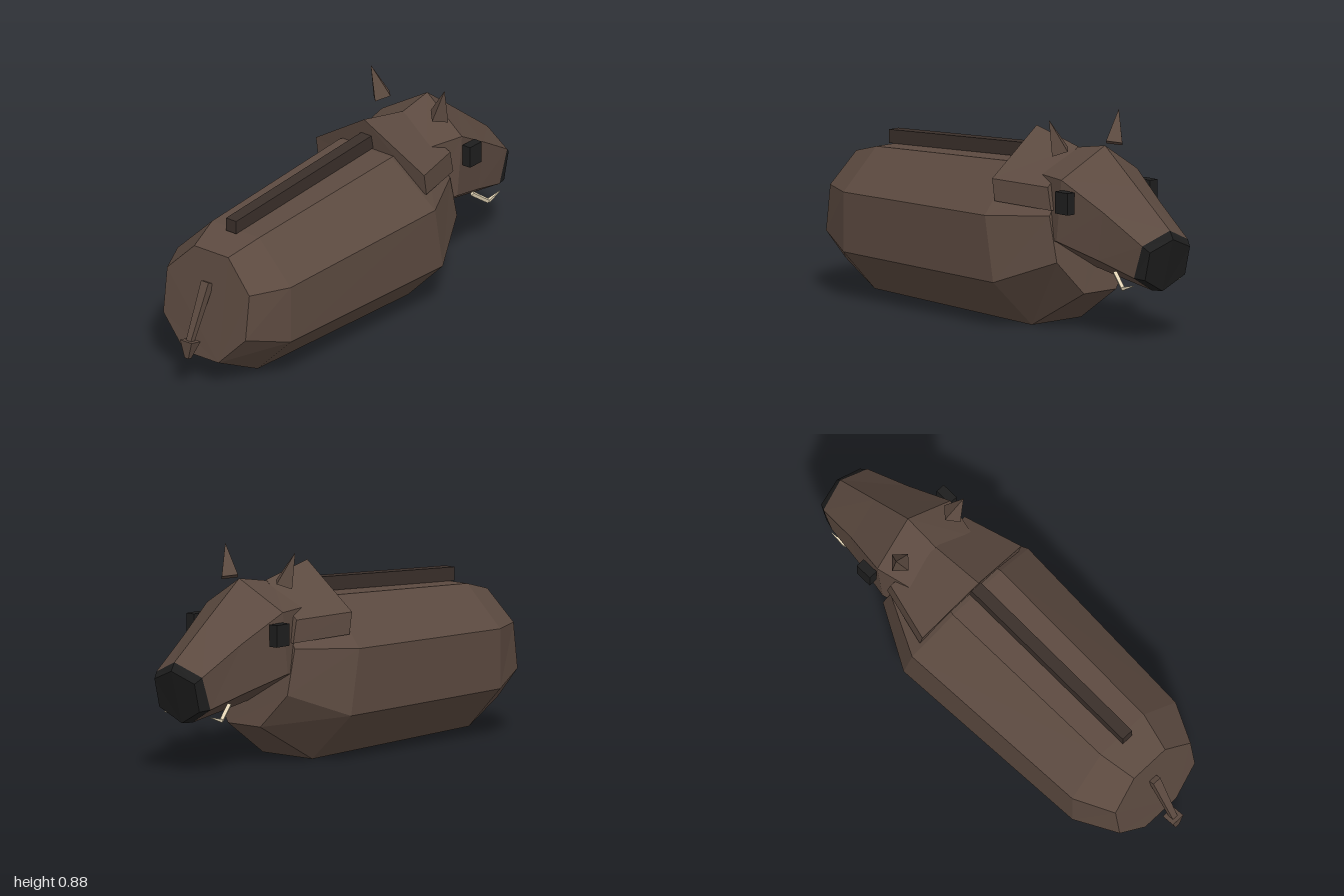
import * as THREE from 'three';

const paint = (color) => new THREE.MeshStandardMaterial({ color, flatShading: true, roughness: 1 });
const hide = paint(0x5c4a40), bristle = paint(0x3a2f2a), black = paint(0x1e1e1e), ivory = paint(0xe0d2b4);

function add(parent, name, geometry, material) {
  const mesh = new THREE.Mesh(geometry, material);
  mesh.name = name;
  parent.add(mesh);
  return mesh;
}

// Mirrors a half section (listed bottom to top on +x) into a closed ring.
function mirrored(half) {
  const other = half.filter((p) => p[0] > 0).reverse().map(([x, y, z]) => [-x, y, z]);
  return [...half, ...other];
}

// Skins symmetric sections, ordered from +z to -z, and caps both ends.
function loft(halves) {
  const rings = halves.map(mirrored);
  const n = rings[0].length;
  const index = [];
  for (let i = 0; i < rings.length - 1; i++) {
    for (let j = 0; j < n; j++) {
      const a = i * n + j, b = i * n + (j + 1) % n;
      index.push(a, a + n, b + n, a, b + n, b);
    }
  }
  const last = (rings.length - 1) * n;
  for (let j = 1; j < n - 1; j++) {
    index.push(0, j, j + 1, last, last + j + 1, last + j);
  }
  const geometry = new THREE.BufferGeometry();
  geometry.setAttribute('position', new THREE.Float32BufferAttribute(rings.flat(2), 3));
  geometry.setIndex(index);
  const flat = geometry.toNonIndexed();
  flat.computeVertexNormals();
  return flat;
}

// Four-sided tapered bar between two points.
function bar(from, to, r0, r1, turn = Math.PI / 4) {
  const a = new THREE.Vector3(...from), b = new THREE.Vector3(...to);
  const dir = b.clone().sub(a);
  const geometry = new THREE.CylinderGeometry(r1, r0, dir.length(), 4, 1, false, turn);
  const up = new THREE.Vector3(0, 1, 0);
  geometry.applyQuaternion(new THREE.Quaternion().setFromUnitVectors(up, dir.normalize()));
  const mid = a.add(b).multiplyScalar(0.5);
  return geometry.translate(mid.x, mid.y, mid.z);
}

export function createModel() {
  const model = new THREE.Group();
  model.name = 'boar';

  // Octagonal barrel, rump to chest
  add(model, 'body', loft([
    [[0.09, 0.122, 0.895], [0.218, 0.255, 0.875], [0.218, 0.45, 0.85], [0.09, 0.58, 0.83]],
    [[0.125, 0.025, 0.68], [0.3, 0.2, 0.68], [0.3, 0.45, 0.68], [0.125, 0.622, 0.67]],
    [[0.138, 0.002, -0.29], [0.337, 0.2, -0.27], [0.337, 0.475, -0.22], [0.138, 0.672, -0.18]],
    [[0.09, 0.16, -0.555], [0.21, 0.3, -0.52], [0.21, 0.49, -0.475], [0.09, 0.63, -0.445]],
  ]), hide);

  // Peaked shoulder mane
  add(model, 'mane', loft([
    [[0.287, 0.53, -0.225], [0.287, 0.622, -0.21], [0, 0.807, -0.17]],
    [[0.215, 0.515, -0.49], [0.215, 0.61, -0.47], [0, 0.75, -0.42]],
  ]), hide);

  // Ridge of bristles along the back
  add(model, 'spineRidge', loft([
    [[0.027, 0.62, 0.7], [0.027, 0.677, 0.7]],
    [[0.027, 0.675, -0.2], [0.027, 0.735, -0.2]],
  ]), bristle);

  // Hexagonal head tapering to the snout
  const head = new THREE.Group();
  head.name = 'head';
  model.add(head);
  const snout = [[0, 0.206, -0.87], [0.128, 0.275, -0.9], [0.128, 0.415, -0.95], [0, 0.47, -0.98]];
  add(head, 'skull', loft([
    [[0, 0.3, -0.36], [0.17, 0.38, -0.36], [0.17, 0.65, -0.37], [0, 0.74, -0.38]],
    [[0, 0.265, -0.5], [0.212, 0.39, -0.52], [0.212, 0.65, -0.55], [0, 0.775, -0.585]],
    [[0, 0.232, -0.7], [0.163, 0.33, -0.72], [0.163, 0.535, -0.75], [0, 0.625, -0.78]],
    snout,
  ]), hide);
  add(head, 'nose', loft([
    snout,
    [[0, 0.211, -0.935], [0.112, 0.27, -0.95], [0.112, 0.39, -0.98], [0, 0.435, -1]],
  ]), black);

  for (const s of [1, -1]) {
    const side = s > 0 ? 'left' : 'right';
    // Ears, eyes and upturned tusks
    add(head, side + 'Ear', bar([s * 0.152, 0.752, -0.477], [s * 0.195, 0.886, -0.457], 0.048, 0.001, 0), hide);
    const eye = new THREE.BoxGeometry(0.04, 0.092, 0.076);
    add(head, side + 'Eye', eye.translate(s * 0.232, 0.563, -0.592), black);
    const bend = [s * 0.125, 0.222, -0.83];
    add(head, side + 'TuskRoot', bar([s * 0.1, 0.277, -0.755], bend, 0.011, 0.01), ivory);
    add(head, side + 'TuskTip', bar(bend, [s * 0.13, 0.243, -0.9], 0.01, 0.002), ivory);
  }

  // Hanging tail with a tuft
  const tail = new THREE.Group();
  tail.name = 'tail';
  model.add(tail);
  add(tail, 'tailStem', bar([0, 0.45, 0.855], [0, 0.222, 0.968], 0.028, 0.018), hide);
  add(tail, 'tailTuft', bar([0, 0.224, 0.967], [0, 0.15, 0.983], 0.043, 0.014), hide);

  return model;
}
